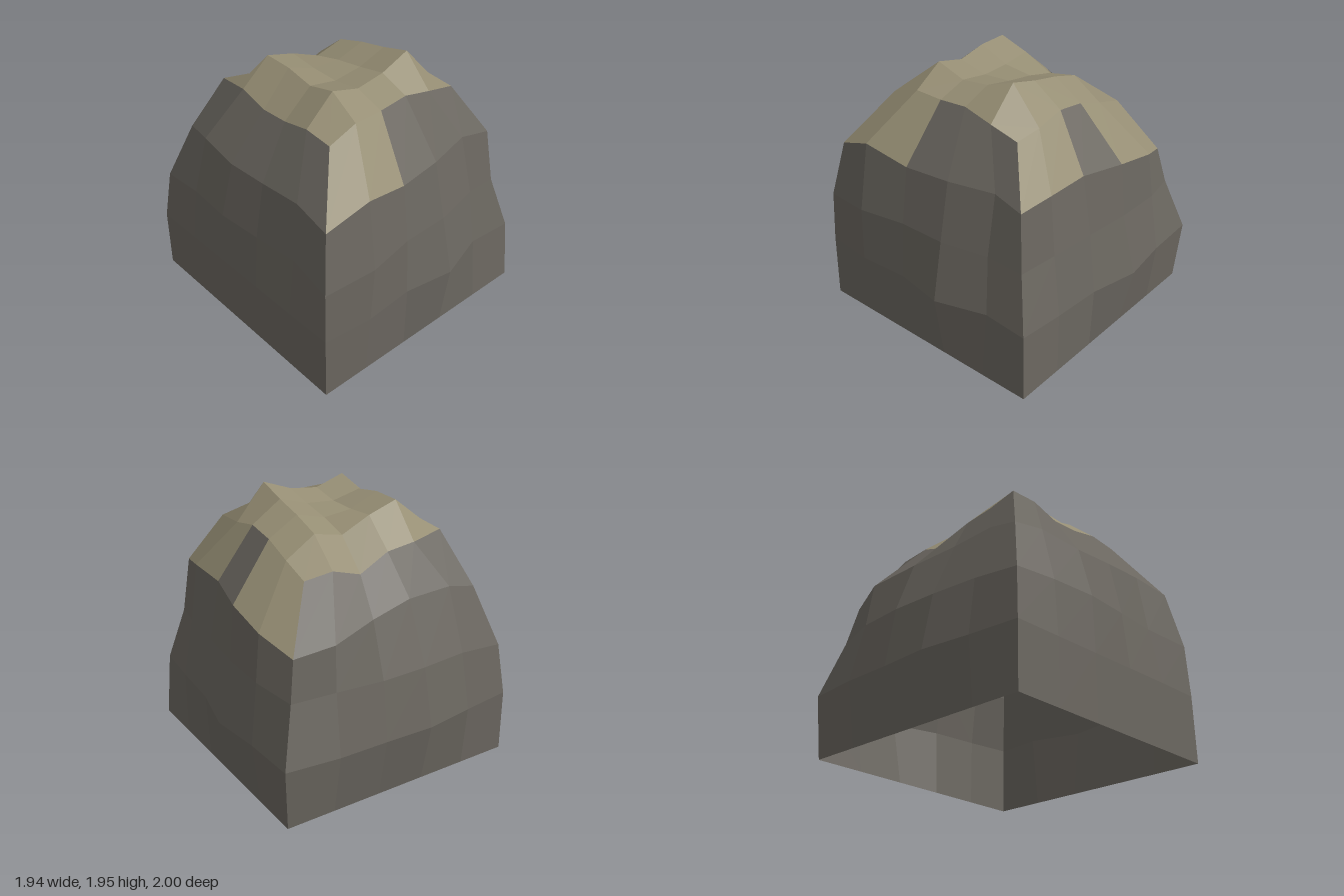
import * as THREE from 'three';

const N = 5;                 // segments along each side
const RING = 4 * N;          // points around a ring
const CX = -0.05, CZ = 0.01; // centre of the plan

// Height rules: a gentle tilt around the ring, a dip at the corners and local bumps
const tilt = (i, peak) => Math.cos((i - peak) / RING * Math.PI * 2);
const corner = (i) => (i % N === 0 ? 1 : 0);
const bump = (i, at, width) => Math.exp(-(((i - at) / width) ** 2));

// Outward distance of each ring point, walked front, right, back, left.
// Points past the end of a list keep the ring's plain half width.
const RINGS = [
  { half: 0.92, out: [], height: () => 0 },
  {
    half: 0.92,
    out: [0.915, 0.955, 0.93, 0.99, 0.87, 0.89, 0.92, 0.94, 1.02, 0.97, 0.95, 0.99, 0.995, 1.01, 0.96],
    height: (i) => 0.478 + 0.022 * tilt(i, 2),
  },
  {
    half: 0.88,
    out: [0.9, 0.96, 0.9, 0.895, 0.82, 0.79, 0.85, 0.88, 0.91, 0.91, 0.83, 0.9, 0.93, 0.92, 0.89,
      0.875, 0.88, 0.905, 0.88, 0.85],
    height: (i) => 0.91 + 0.025 * tilt(i, 4) - 0.035 * corner(i),
  },
  {
    half: 0.85,
    out: [0.82, 0.88, 0.84, 0.8, 0.72, 0.745, 0.8, 0.8, 0.87, 0.87, 0.775, 0.86, 0.79, 0.73, 0.73,
      0.73, 0.77, 0.8, 0.8, 0.79],
    height: (i) => 1.35 + 0.015 * tilt(i, 6) - 0.045 * corner(i)
      - 0.165 * bump(i, 10.2, 1.9) - 0.05 * bump(i, 17, 1.2) + 0.08 * bump(i, 1, 0.4),
  },
];

// Crown heights, rows from front to back; the left-hand edge follows its own rule
const CROWN_HALF = 0.55;
const CROWN = [
  [1.765, 1.765, 1.785, 1.73, 1.68],
  [1.9, 1.83, 1.86, 1.945, 1.69],
  [1.84, 1.79, 1.81, 1.88, 1.735],
  [1.88, 1.79, 1.77, 1.83, 1.7],
  [1.88, 1.81, 1.71, 1.76, 1.62],
  [1.64, 1.615, 1.5, 1.57, 1.55],
];
const crownLeftEdge = (row) => 1.71 - 0.02 * (row % N ? 0 : 1) - 0.08 * bump(row, 2.6, 0.9);

// Point on a square ring: "along" runs to the right when that side is seen from outside
function ringPoint(side, along, out, y) {
  const [x, z] = [[along, out], [out, -along], [-along, -out], [-out, along]][side];
  return new THREE.Vector3(CX + x, y, CZ + z);
}

function ringPoints({ half, out, height }) {
  return Array.from({ length: RING }, (_, i) => {
    const k = i % N, distance = out[i] ?? half;
    const along = k ? half * (2 * k / N - 1) : -distance;
    return ringPoint(Math.floor(i / N), along, distance, height(i));
  });
}

const crownPoint = (row, col) => new THREE.Vector3(
  CX + CROWN_HALF * (2 * col / N - 1),
  col ? CROWN[row][col - 1] : crownLeftEdge(row),
  CZ - CROWN_HALF * (2 * row / N - 1));

// Edge of the crown grid, walked in the same order as the rings
const crownEdge = () => Array.from({ length: RING }, (_, i) => {
  const k = i % N;
  const [row, col] = [[0, k], [k, N], [N, N - k], [N - k, 0]][Math.floor(i / N)];
  return crownPoint(row, col);
});

// Faceted surface with a single normal on each four-sided face
function facetGeometry(quads) {
  const positions = [], normals = [];
  for (const [a, b, c, d] of quads) {
    const n = c.clone().sub(a).cross(d.clone().sub(b)).normalize();
    for (const p of [a, b, c, a, c, d]) {
      positions.push(...p.toArray());
      normals.push(...n.toArray());
    }
  }
  const geometry = new THREE.BufferGeometry();
  geometry.setAttribute('position', new THREE.Float32BufferAttribute(positions, 3));
  geometry.setAttribute('normal', new THREE.Float32BufferAttribute(normals, 3));
  return geometry;
}

function stone(name, color) {
  const material = new THREE.MeshStandardMaterial({ color, side: THREE.DoubleSide });
  material.name = name;
  return material;
}

export function createModel() {
  const greyStone = stone('greyStone', 0x6b6760);
  const tanStone = stone('tanStone', 0x968e74);

  const rings = [...RINGS.map(ringPoints), crownEdge()];
  const shoulderTan = [0, 1, 5, 6, 8, 9]; // tan facets just below the crown
  const walls = [], shoulder = [], crown = [];

  // Walls and shoulder, ring by ring; the underside stays open
  for (let level = 0; level < RINGS.length; level++) {
    const low = rings[level], high = rings[level + 1];
    for (let i = 0; i < RING; i++) {
      const j = (i + 1) % RING;
      const isTan = level === RINGS.length - 1 && shoulderTan.includes(i);
      (isTan ? shoulder : walls).push([low[i], low[j], high[j], high[i]]);
    }
  }

  // Crown
  for (let r = 0; r < N; r++) {
    for (let c = 0; c < N; c++) {
      crown.push([crownPoint(r, c), crownPoint(r, c + 1), crownPoint(r + 1, c + 1), crownPoint(r + 1, c)]);
    }
  }

  const group = new THREE.Group();
  group.name = 'rock';
  const add = (name, quads, material) => {
    const mesh = new THREE.Mesh(facetGeometry(quads), material);
    mesh.name = name;
    group.add(mesh);
  };
  add('rockWalls', walls, greyStone);
  add('rockShoulder', shoulder, tanStone);
  add('rockCrown', crown, tanStone);
  return group;
}
